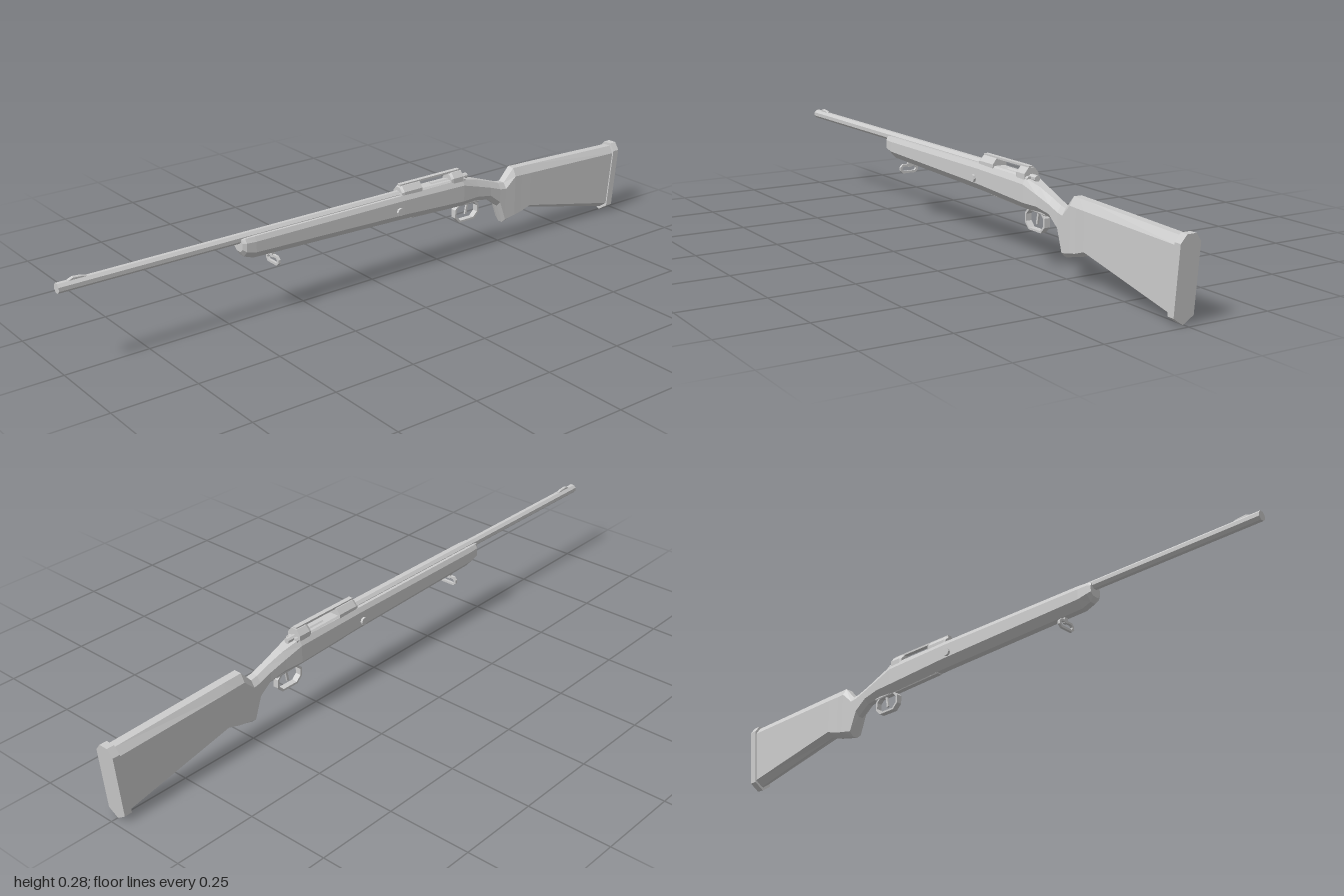
import * as THREE from 'three';

const mat = new THREE.MeshStandardMaterial({ color: 0xcccccc, flatShading: true, side: THREE.DoubleSide });

function add(group, name, geo, x = 0, y = 0, z = 0) {
  const mesh = new THREE.Mesh(geo, mat);
  mesh.name = name;
  mesh.position.set(x, y, z);
  group.add(mesh);
  return mesh;
}

// Lofts eight-sided sections, listed front to back:
// [z, top, bottom, half width, half top, half bottom, top bevel, bottom bevel, rake]
function loft(sections) {
  const rings = sections.map(([z, t, b, w, tw, bw, td, bd, rake = 0]) =>
    [[w, b + bd], [w, t - td], [tw, t], [-tw, t], [-w, t - td], [-w, b + bd], [-bw, b], [bw, b]]
      .map(([x, y]) => [x, y, z - rake * (y - b) / (t - b)]));
  const pos = [];
  const tri = (a, b, c) => pos.push(...a, ...b, ...c);
  for (let s = 0; s < rings.length - 1; s++) {
    for (let i = 0; i < 8; i++) {
      const j = (i + 1) % 8, a = rings[s], b = rings[s + 1];
      tri(a[i], b[i], a[j]);
      tri(a[j], b[i], b[j]);
    }
  }
  const first = rings[0], last = rings[rings.length - 1];
  for (let i = 1; i < 7; i++) {
    tri(first[0], first[i], first[i + 1]);
    tri(last[0], last[i + 1], last[i]);
  }
  const geo = new THREE.BufferGeometry();
  geo.setAttribute('position', new THREE.Float32BufferAttribute(pos, 3));
  geo.computeVertexNormals();
  return geo;
}

// Flat band following an outline, extruded by depth and centred on z
function band(outer, inner, depth) {
  const shape = new THREE.Shape(outer.map(p => new THREE.Vector2(...p)));
  shape.holes.push(new THREE.Path(inner.map(p => new THREE.Vector2(...p))));
  const geo = new THREE.ExtrudeGeometry(shape, { depth, bevelEnabled: false });
  return geo.translate(0, 0, -depth / 2);
}

// Rectangle with cut corners
const cutRect = (w, h, c) => [
  [w, -h + c], [w, h - c], [w - c, h], [-w + c, h],
  [-w, h - c], [-w, -h + c], [-w + c, -h], [w - c, -h]];

// Eight-sided rod along z
function rod(r, length) {
  return new THREE.CylinderGeometry(r, r, length, 8).rotateY(Math.PI / 8).rotateX(Math.PI / 2);
}

export function createModel() {
  const model = new THREE.Group();

  // Stock: fore end, wrist, pistol grip and butt in one loft
  add(model, 'stock', loft([
    [0.46, 0.248, 0.210, 0.020, 0.016, 0.010, 0.010, 0.010],
    [0.45, 0.250, 0.195, 0.027, 0.020, 0.010, 0.012, 0.018],
    [0.42, 0.251, 0.184, 0.029, 0.022, 0.010, 0.014, 0.022],
    [-0.10, 0.251, 0.171, 0.030, 0.023, 0.010, 0.014, 0.022],
    [-0.33, 0.250, 0.161, 0.029, 0.020, 0.010, 0.018, 0.020],
    [-0.39, 0.234, 0.163, 0.025, 0.013, 0.009, 0.020, 0.018],
    [-0.445, 0.215, 0.155, 0.022, 0.010, 0.008, 0.018, 0.016],
    [-0.485, 0.201, 0.125, 0.022, 0.010, 0.008, 0.018, 0.016],
    [-0.508, 0.197, 0.064, 0.023, 0.011, 0.008, 0.018, 0.014],
    [-0.545, 0.237, 0.073, 0.025, 0.012, 0.006, 0.024, 0.012],
    [-0.57, 0.236, 0.078, 0.025, 0.012, 0.005, 0.024, 0.012],
    [-0.61, 0.235, 0.091, 0.026, 0.012, 0.004, 0.024, 0.012],
    [-0.96, 0.222, 0.011, 0.027, 0.012, 0.003, 0.022, 0.018, 0.02],
  ]));

  // Raked butt pad
  add(model, 'buttPad', loft([
    [-0.955, 0.230, 0.002, 0.031, 0.014, 0.002, 0.022, 0.020, 0.022],
    [-0.978, 0.230, 0.002, 0.031, 0.014, 0.002, 0.022, 0.020, 0.022],
  ]));

  // Barrel with muzzle recess and front sight
  add(model, 'barrel', rod(0.0145, 1.1), 0, 0.247, 0.45);
  add(model, 'frontSight', loft([
    [0.970, 0.262, 0.255, 0.005, 0.003, 0.005, 0.002, 0.001],
    [0.955, 0.268, 0.255, 0.005, 0.003, 0.005, 0.002, 0.001],
    [0.930, 0.266, 0.255, 0.005, 0.003, 0.005, 0.002, 0.001],
    [0.915, 0.262, 0.255, 0.005, 0.003, 0.005, 0.002, 0.001],
  ]));

  // Receiver: low tray, front ring, rear bridge and a slim top rail
  add(model, 'receiverTray', loft([
    [-0.09, 0.256, 0.225, 0.021, 0.016, 0.016, 0.005, 0.005],
    [-0.34, 0.254, 0.225, 0.021, 0.016, 0.016, 0.005, 0.005],
  ]));
  for (const [name, front, back] of [['receiverRing', -0.095, -0.17], ['receiverBridge', -0.285, -0.33]]) {
    add(model, name, loft([
      [front, 0.272, 0.240, 0.021, 0.008, 0.021, 0.014, 0.004],
      [front - 0.008, 0.276, 0.240, 0.023, 0.010, 0.022, 0.016, 0.004],
      [back, 0.276, 0.240, 0.023, 0.010, 0.022, 0.016, 0.004],
    ]));
  }
  add(model, 'topRail', new THREE.BoxGeometry(0.014, 0.006, 0.228), 0, 0.277, -0.213);
  add(model, 'boltBody', rod(0.009, 0.14), 0, 0.250, -0.29);

  // Cross bolt, with a head on each side
  add(model, 'crossBolt', new THREE.CylinderGeometry(0.012, 0.012, 0.074, 8).rotateZ(Math.PI / 2), 0, 0.207, -0.08);

  // Floor plate under the action
  add(model, 'floorPlate', loft([
    [-0.14, 0.176, 0.166, 0.010, 0.010, 0.008, 0.001, 0.003],
    [-0.41, 0.168, 0.156, 0.010, 0.010, 0.008, 0.001, 0.003],
  ]));

  // Trigger guard and trigger
  const guard = add(model, 'triggerGuard',
    band(cutRect(0.047, 0.031, 0.018), cutRect(0.041, 0.025, 0.015), 0.018), 0, 0.136, -0.36);
  guard.rotation.y = Math.PI / 2;
  const trigger = add(model, 'trigger', new THREE.BoxGeometry(0.006, 0.042, 0.007), 0, 0.145, -0.365);
  trigger.rotation.x = -0.2;

  // Sling loop and its stud below the fore end
  add(model, 'slingLoop',
    band(cutRect(0.031, 0.014, 0.009), cutRect(0.024, 0.007, 0.005), 0.008), 0.003, 0.161, 0.35);
  add(model, 'slingStud', new THREE.BoxGeometry(0.012, 0.022, 0.01), 0, 0.177, 0.35);

  return model;
}
